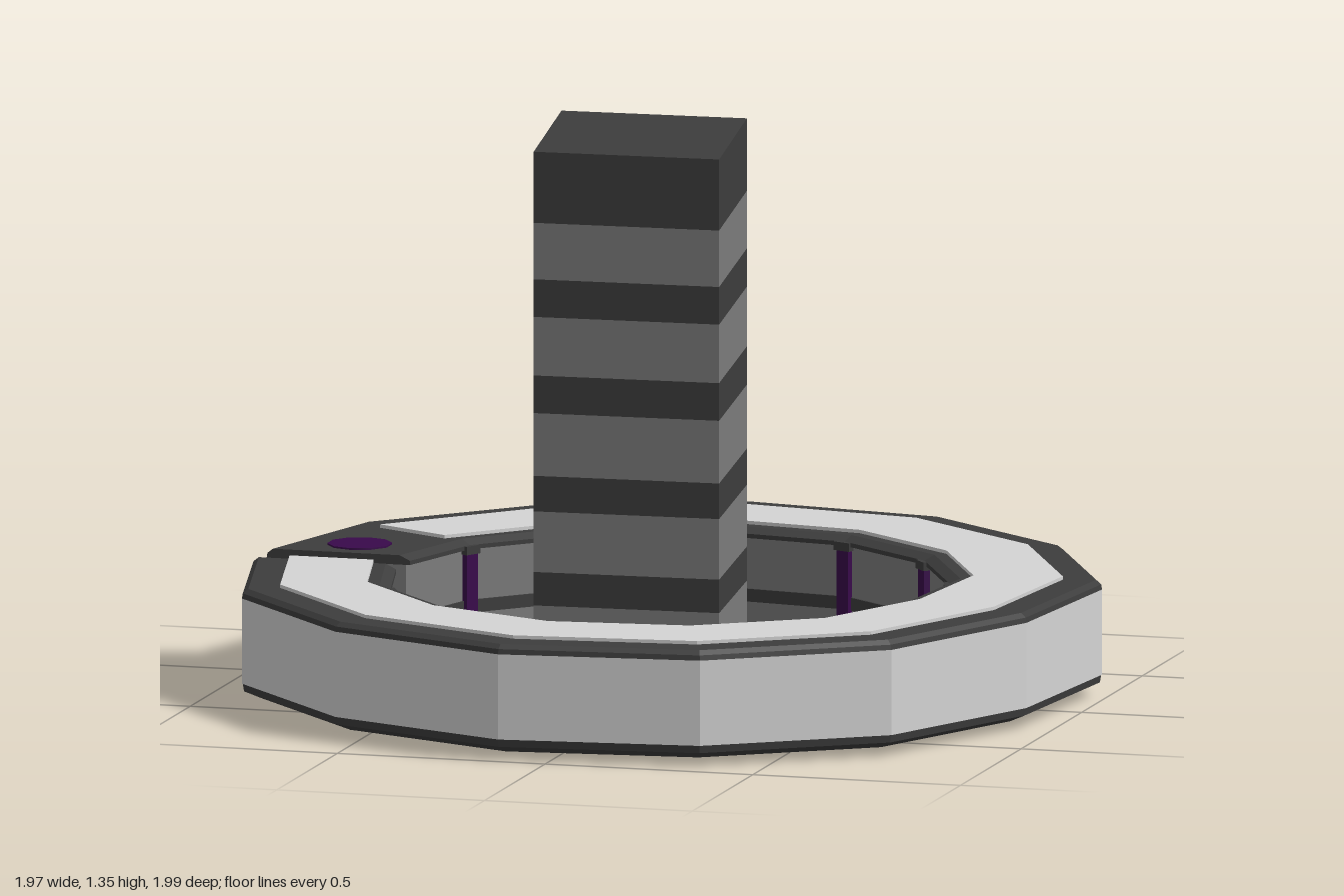
import * as THREE from 'three';

const mat = (name, color) => Object.assign(new THREE.MeshStandardMaterial({ color }), { name });

// Ring corners [x, z, cut]; a cut corner keeps its z so the ends are square to the gap
const RING = [
  [-0.985, -0.08, true], [-0.87, -0.49], [-0.53, -0.84], [-0.08, -1], [0.39, -0.93],
  [0.77, -0.64], [0.985, -0.22], [0.94, 0.25], [0.74, 0.68], [0.355, 0.94],
  [-0.116, 0.99], [-0.56, 0.81], [-0.89, 0.45], [-0.985, 0.035, true],
];

// Sweep a closed convex profile [scale, y] along the corners, with end caps
function sweep(corners, profile) {
  const pos = [];
  const rows = corners.map(([x, z, cut]) => profile.map(([s, y]) => [x * s, y, cut ? z : z * s]));
  const tri = (...pts) => pts.forEach((p) => pos.push(...p));
  const n = profile.length;
  for (let i = 0; i < rows.length - 1; i++) {
    for (let j = 0; j < n; j++) {
      const k = (j + 1) % n;
      const a = rows[i][j], b = rows[i][k], c = rows[i + 1][j], d = rows[i + 1][k];
      tri(a, b, d);
      tri(a, d, c);
    }
  }
  const first = rows[0], last = rows[rows.length - 1];
  for (let j = 1; j < n - 1; j++) {
    tri(first[0], first[j + 1], first[j]);
    tri(last[0], last[j], last[j + 1]);
  }
  const g = new THREE.BufferGeometry();
  g.setAttribute('position', new THREE.Float32BufferAttribute(pos, 3));
  g.computeVertexNormals();
  return g;
}

const rect = (s0, s1, y0, y1) => [[s0, y0], [s1, y0], [s1, y1], [s0, y1]];

// One layer of the slightly skewed tower; the layers lean a little more near the base
function towerLayer(y0, y1) {
  const g = new THREE.BoxGeometry(1, 1, 1);
  const p = g.attributes.position;
  for (let i = 0; i < p.count; i++) {
    const u = p.getX(i), v = p.getZ(i);
    const y = p.getY(i) < 0 ? y0 : y1;
    p.setXYZ(i, 0.005 + 0.44 * u + 0.09 * v,
      y + 0.025 * (v + 0.5) * (1 - y / 1.345), 0.231 - 0.022 * u + 0.538 * v);
  }
  g.computeVertexNormals();
  return g;
}

export function createModel() {
  const model = new THREE.Group();
  model.name = 'ringAndTower';
  const light = mat('lightGrey', 0xd4d4d4);
  const mid = mat('midGrey', 0x7c7c7c);
  const dark = mat('charcoal', 0x3d3d3d);
  const purple = mat('purple', 0x390a4b);

  const add = (name, geometry, material, parent = model) => {
    const m = new THREE.Mesh(geometry, material);
    m.name = name;
    parent.add(m);
    return m;
  };

  // Open ring, layer by layer
  const ring = new THREE.Group();
  ring.name = 'ring';
  model.add(ring);
  add('outerBand', sweep(RING, rect(0.8, 1, 0.05, 0.25)), light, ring);
  add('innerLiner', sweep(RING, rect(0.66, 0.8, 0.05, 0.25)), mid, ring);
  add('innerStripe', sweep(RING, rect(0.655, 0.67, 0.1, 0.13)), dark, ring);
  add('topCap', sweep(RING,
    [[0.65, 0.25], [1, 0.25], [0.998, 0.262], [0.985, 0.272], [0.675, 0.272], [0.65, 0.26]]), dark, ring);
  add('bottomCap', sweep(RING,
    [[0.685, 0.015], [0.955, 0.015], [0.995, 0.032], [0.998, 0.05], [0.655, 0.05], [0.655, 0.035]]), dark, ring);
  const inlayPath = [[-0.89, -0.455], ...RING.slice(1)];
  inlayPath.splice(1, 1);
  add('topInlay', sweep(inlayPath, rect(0.705, 0.91, 0.271, 0.28)), light, ring);

  // Purple strips with dark tops at the inner corners, except where the tower is held
  RING.forEach(([x, z, cut], i) => {
    if (cut || i === 9 || i === 10) return;
    const strip = new THREE.Group();
    strip.name = 'innerStrip';
    strip.position.set(x * 0.652, 0, z * 0.652);
    strip.rotation.y = Math.atan2(x, z);
    ring.add(strip);
    add('stripBody', new THREE.BoxGeometry(0.035, 0.18, 0.022).translate(0, 0.15, 0), purple, strip);
    add('stripTop', new THREE.BoxGeometry(0.045, 0.02, 0.03).translate(0, 0.25, 0), dark, strip);
  });

  // Link across the gap
  const link = add('gapLink', new THREE.BoxGeometry(0.22, 0.19, 0.15), mid, ring);
  link.position.set(-0.828, 0.155, -0.022);

  // Hinge pin, showing above and below
  const pin = add('hingePin', new THREE.CylinderGeometry(0.075, 0.075, 0.266, 10), purple, ring);
  pin.position.set(-0.793, 0.143, -0.19);

  // Striped tower
  const tower = new THREE.Group();
  tower.name = 'tower';
  model.add(tower);
  const levels = [0, 0.04, 0.09, 0.125, 0.26, 0.34, 0.485, 0.57, 0.72, 0.81, 0.95, 1.04, 1.175, 1.345];
  for (let i = 0; i < levels.length - 1; i++) {
    add(i % 2 ? 'greyLayer' : 'darkLayer', towerLayer(levels[i], levels[i + 1]), i % 2 ? mid : dark, tower);
  }

  // Bracket joining tower and ring
  const bracket = add('towerBracket', new THREE.BoxGeometry(0.26, 0.12, 0.18), mid);
  bracket.position.set(0.035, 0.16, 0.56);
  bracket.rotation.y = 0.11;

  return model;
}
